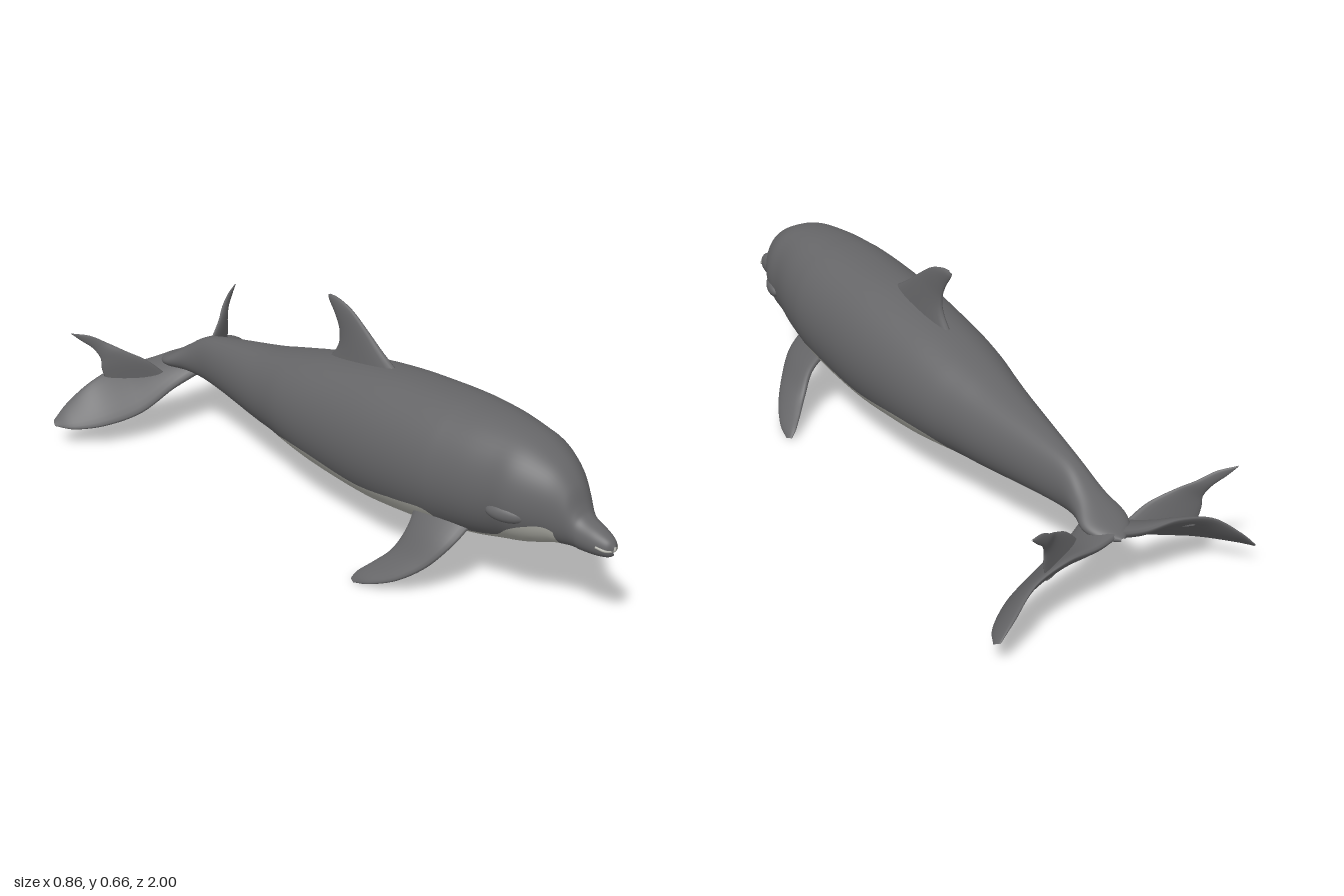
import * as THREE from 'three';

const skin = new THREE.MeshStandardMaterial({ color: 0x666668 });
skin.name = 'greySkin';
const pale = new THREE.MeshStandardMaterial({ color: 0xb4b4ac });
pale.name = 'paleBelly';

// Uniform spline through rows of any width; returns the row at step t (0..1)
function rowSpline(rows) {
  const curves = [];
  for (let k = 0; k < rows[0].length; k += 3) {
    const pts = rows.map(r => new THREE.Vector3(r[k], r[k + 1] ?? 0, r[k + 2] ?? 0));
    curves.push(new THREE.CatmullRomCurve3(pts, false, 'catmullrom', 0.5));
  }
  return t => curves.flatMap(c => c.getPoint(t).toArray());
}

// Skin over closed rings of equal point count; isPale(i, j) chooses the colour
function loft(rings, flip, isPale = () => false) {
  const n = rings[0].length;
  const faces = [[], []];
  for (let i = 0; i < rings.length - 1; i++) {
    for (let j = 0; j < n; j++) {
      const k = (j + 1) % n;
      const a = i * n + j, b = a + n, c = i * n + k, d = c + n;
      const list = faces[isPale(i, j) ? 1 : 0];
      if (flip) list.push(a, c, b, b, c, d);
      else list.push(a, b, c, b, d, c);
    }
  }
  const geo = new THREE.BufferGeometry();
  geo.setAttribute('position', new THREE.Float32BufferAttribute(rings.flat().flatMap(p => p.toArray()), 3));
  geo.setIndex([...faces[0], ...faces[1]]);
  geo.addGroup(0, faces[0].length, 0);
  geo.addGroup(faces[0].length, faces[1].length, 1);
  geo.computeVertexNormals();
  return geo;
}

function addMesh(parent, name, geo, material) {
  const mesh = new THREE.Mesh(geo, material);
  mesh.name = name;
  parent.add(mesh);
  return mesh;
}

// Fin blade: each row is leading point, trailing point, half thickness
function blade(rows, side = 1) {
  const at = rowSpline(rows), steps = 30, sides = 20;
  const mid = r => new THREE.Vector3(r[0] + r[3], r[1] + r[4], r[2] + r[5]).multiplyScalar(0.5);
  const rings = [];
  for (let i = 0; i <= steps; i++) {
    const t = i / steps, r = at(t);
    const centre = mid(r);
    const half = new THREE.Vector3(r[0] - r[3], r[1] - r[4], r[2] - r[5]).multiplyScalar(0.5);
    const span = mid(at(Math.min(1, t + 0.02))).sub(mid(at(Math.max(0, t - 0.02))));
    const normal = half.clone().cross(span).normalize().multiplyScalar(r[6]);
    const ring = [];
    for (let j = 0; j < sides; j++) {
      const a = j / sides * Math.PI * 2;
      const p = centre.clone().addScaledVector(half, Math.cos(a)).addScaledVector(normal, Math.sin(a));
      p.x *= side;
      ring.push(p);
    }
    rings.push(ring);
  }
  return loft(rings, side < 0);
}

// Body stations: z, top, bottom, half width, height of the belly colour edge
const stations = [
  [1.0, 0.285, 0.262, 0.006, 0.27], [0.985, 0.302, 0.25, 0.024, 0.26],
  [0.95, 0.318, 0.243, 0.037, 0.26], [0.905, 0.335, 0.24, 0.046, 0.26],
  [0.885, 0.36, 0.24, 0.05, 0.265], [0.86, 0.41, 0.238, 0.063, 0.275],
  [0.82, 0.452, 0.232, 0.09, 0.3], [0.77, 0.482, 0.215, 0.118, 0.29],
  [0.72, 0.503, 0.2, 0.137, 0.265], [0.66, 0.517, 0.185, 0.145, 0.22],
  [0.58, 0.526, 0.166, 0.163, 0.2], [0.5, 0.529, 0.152, 0.176, 0.2],
  [0.44, 0.53, 0.142, 0.183, 0.235], [0.33, 0.527, 0.128, 0.186, 0.223],
  [0.15, 0.516, 0.117, 0.183, 0.2], [-0.07, 0.485, 0.13, 0.168, 0.217],
  [-0.2, 0.458, 0.147, 0.152, 0.213], [-0.3, 0.434, 0.16, 0.13, 0.185],
  [-0.4, 0.41, 0.168, 0.11, 0.185], [-0.6, 0.373, 0.19, 0.07, 0.205],
  [-0.72, 0.345, 0.2, 0.05, 0.22], [-0.8, 0.3, 0.205, 0.055, 0.22],
  [-0.86, 0.262, 0.205, 0.07, 0.22], [-0.91, 0.24, 0.205, 0.05, 0.22],
  [-0.945, 0.222, 0.212, 0.006, 0.217],
];

function bodyGeometry() {
  const at = rowSpline(stations), steps = (stations.length - 1) * 6;
  const bellyCols = 16, backCols = 36;
  const rings = [];
  for (let i = 0; i <= steps; i++) {
    const [z, top, bottom, w, edge] = at(i / steps);
    const c = (top + bottom) / 2, h = (top - bottom) / 2;
    const split = Math.acos(THREE.MathUtils.clamp((c - edge) / h, -0.9, 0.98));
    const ring = [];
    for (let j = 0; j < bellyCols + backCols; j++) {
      const a = j < bellyCols
        ? -split + 2 * split * j / bellyCols
        : split + (2 * Math.PI - 2 * split) * (j - bellyCols) / backCols;
      const s = Math.sin(a);
      ring.push(new THREE.Vector3(w * Math.sign(s) * Math.abs(s) ** 0.88, c - h * Math.cos(a), z));
    }
    rings.push(ring);
  }
  return loft(rings, false, (i, j) => {
    const z = rings[i][0].z;
    return j < bellyCols && z < 0.845 && z > -0.325;
  });
}

const dorsalRows = [
  [0, 0.49, 0.2, 0, 0.44, -0.15, 0.026], [0, 0.545, 0.11, 0, 0.51, -0.09, 0.019],
  [0, 0.6, 0.035, 0, 0.56, -0.08, 0.013], [0, 0.64, -0.025, 0, 0.605, -0.097, 0.01],
  [0, 0.66, -0.08, 0, 0.645, -0.125, 0.007], [0, 0.665, -0.12, 0, 0.66, -0.13, 0.002],
];
const flipperRows = [
  [0.09, 0.22, 0.575, 0.12, 0.23, 0.38, 0.022], [0.155, 0.165, 0.56, 0.17, 0.165, 0.395, 0.02],
  [0.21, 0.1, 0.515, 0.208, 0.1, 0.375, 0.018], [0.26, 0.05, 0.45, 0.245, 0.06, 0.34, 0.014],
  [0.295, 0.02, 0.375, 0.278, 0.03, 0.31, 0.009], [0.305, 0.006, 0.32, 0.297, 0.01, 0.302, 0.003],
];
const flukeRows = [
  [0, 0.2, -0.78, 0, 0.225, -0.93, 0.025], [0.08, 0.16, -0.805, 0.08, 0.22, -0.945, 0.022],
  [0.2, 0.105, -0.82, 0.18, 0.225, -0.955, 0.016], [0.31, 0.08, -0.86, 0.29, 0.195, -0.965, 0.012],
  [0.39, 0.07, -0.92, 0.37, 0.135, -0.99, 0.009], [0.428, 0.073, -0.98, 0.42, 0.085, -0.998, 0.003],
];
const upperTailRows = [
  [0.07, 0.19, -0.85, 0.245, 0.18, -0.945, 0.012], [0.13, 0.25, -0.875, 0.257, 0.235, -0.95, 0.01],
  [0.19, 0.29, -0.91, 0.258, 0.27, -0.952, 0.008], [0.235, 0.32, -0.945, 0.275, 0.305, -0.967, 0.007],
  [0.28, 0.348, -0.97, 0.305, 0.333, -0.985, 0.005], [0.333, 0.362, -0.998, 0.33, 0.358, -0.998, 0.002],
];

export function createModel() {
  const model = new THREE.Group();
  model.name = 'dolphin';

  addMesh(model, 'body', bodyGeometry(), [skin, pale]);
  addMesh(model, 'dorsalFin', blade(dorsalRows), skin);

  // Paired fins and brow bulges
  for (const [side, label] of [[1, 'left'], [-1, 'right']]) {
    addMesh(model, label + 'Flipper', blade(flipperRows, side), skin);
    addMesh(model, label + 'Fluke', blade(flukeRows, side), skin);
    addMesh(model, label + 'UpperTailFin', blade(upperTailRows, side), skin);
    const brow = addMesh(model, label + 'Brow', new THREE.SphereGeometry(1, 20, 14), skin);
    brow.scale.set(0.022, 0.025, 0.06);
    brow.position.set(side * 0.12, 0.315, 0.72);
    brow.rotation.y = side * -0.35;
  }

  // Thin pale lip around the tip of the beak
  const lip = new THREE.CatmullRomCurve3([
    [-0.033, 0.28, 0.96], [-0.023, 0.274, 0.985], [0, 0.272, 0.996], [0.023, 0.274, 0.985], [0.033, 0.28, 0.96],
  ].map(p => new THREE.Vector3(...p)));
  addMesh(model, 'lip', new THREE.TubeGeometry(lip, 24, 0.004, 8), pale);

  return model;
}
